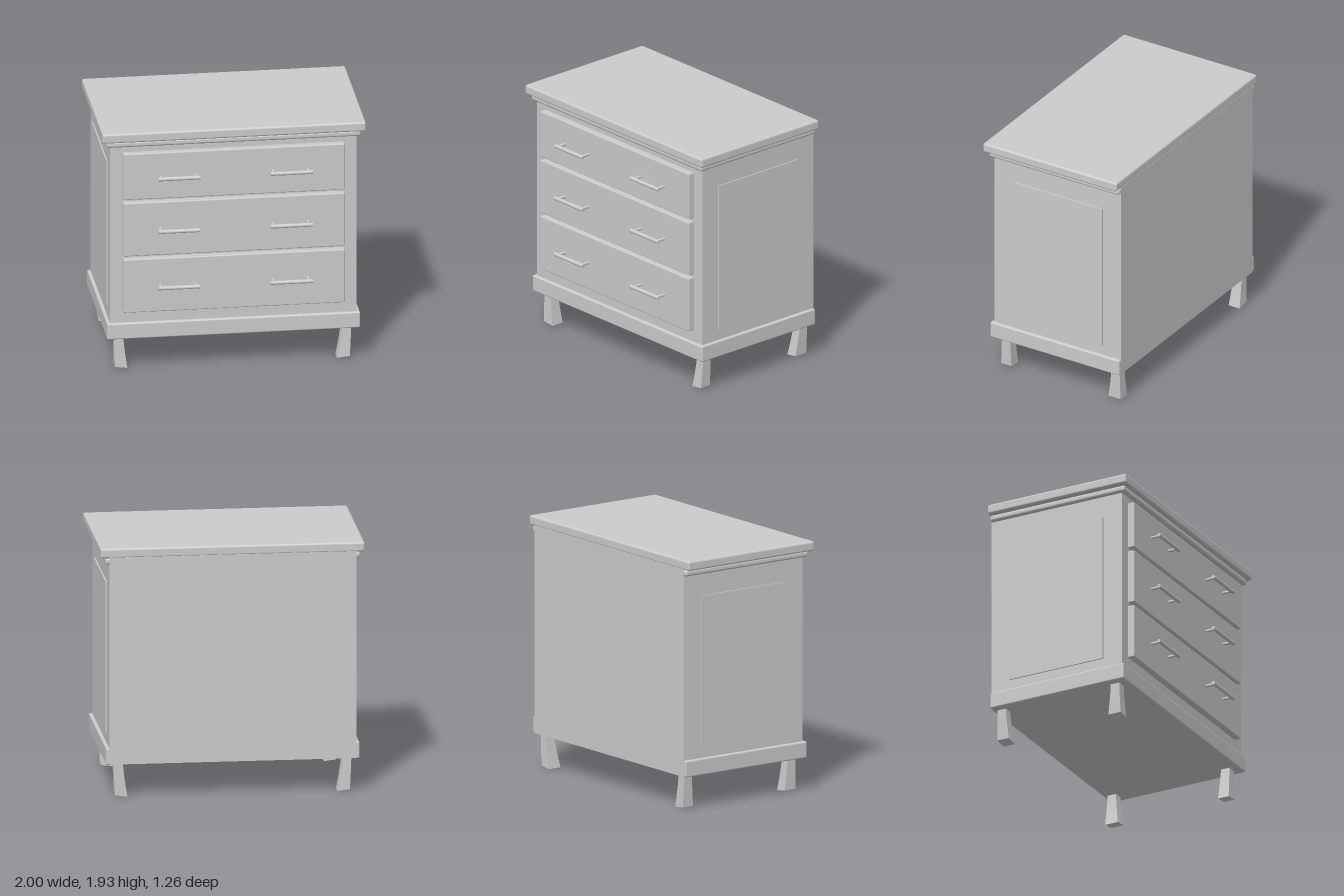
import * as THREE from 'three';
import { RoundedBoxGeometry } from 'three/addons/geometries/RoundedBoxGeometry.js';

export function createModel() {
  const model = new THREE.Group();
  model.name = 'chestOfDrawers';
  const grey = new THREE.MeshStandardMaterial({ color: 0xcccccc });
  grey.name = 'plain grey';

  const add = (name, geometry, parent = model) => {
    const mesh = new THREE.Mesh(geometry, grey);
    mesh.name = name;
    parent.add(mesh);
    return mesh;
  };

  // Box given by its limits, with rounded edges when r > 0
  const box = (name, [x0, x1], [y0, y1], [z0, z1], r = 0) => {
    const size = [x1 - x0, y1 - y0, z1 - z0];
    const geometry = r ? new RoundedBoxGeometry(...size, 3, r) : new THREE.BoxGeometry(...size);
    const mesh = add(name, geometry);
    mesh.position.set((x0 + x1) / 2, (y0 + y1) / 2, (z0 + z1) / 2);
    return mesh;
  };

  // Carcass and mouldings, all flush at the back
  box('carcass', [-0.935, 0.935], [0.258, 1.86], [-0.63, 0.49]);
  box('topSlab', [-1, 1], [1.853, 1.928], [-0.63, 0.555], 0.016);
  box('topMoulding', [-0.965, 0.965], [1.805, 1.853], [-0.629, 0.525], 0.018);
  box('plinth', [-0.96, 0.96], [0.255, 0.383], [-0.629, 0.515], 0.012);

  // Raised side panels
  for (const [name, s] of [['leftPanel', 1], ['rightPanel', -1]]) {
    box(name, [Math.min(s * 0.92, s * 0.945), Math.max(s * 0.92, s * 0.945)], [0.465, 1.635], [-0.47, 0.33]);
  }

  // Drawers with two bar handles each
  const drawers = [[0.477, 0.905, 0.692], [0.932, 1.36, 1.147], [1.387, 1.757, 1.572]];
  drawers.forEach(([y0, y1, handleY], i) => {
    box(`drawer${i + 1}`, [-0.84, 0.84], [y0, y1], [0.47, 0.541], 0.008);
    for (const x of [-0.428, 0.426]) {
      const handle = new THREE.Group();
      handle.name = 'handle';
      handle.position.set(x, handleY, 0);
      const bar = add('handleBar', new THREE.CylinderGeometry(0.015, 0.015, 0.318, 16), handle);
      bar.rotation.z = Math.PI / 2;
      bar.position.z = 0.615;
      for (const px of [-0.133, 0.133]) {
        const post = add('handlePost', new THREE.CylinderGeometry(0.011, 0.011, 0.08, 12), handle);
        post.rotation.x = Math.PI / 2;
        post.position.set(px, 0, 0.575);
      }
      model.add(handle);
    }
  });

  // Flared square legs: lerp each corner from the top rectangle to the foot rectangle
  const leg = (name, top, foot) => {
    const geometry = new THREE.BoxGeometry(1, 1, 1, 1, 4, 1);
    const p = geometry.attributes.position;
    for (let i = 0; i < p.count; i++) {
      const t = Math.pow(0.5 - p.getY(i), 1.3);
      const at = (k) => THREE.MathUtils.lerp(top[k], foot[k], t);
      const x = p.getX(i) < 0 ? at(0) : at(1);
      const z = p.getZ(i) < 0 ? at(2) : at(3);
      const lift = 0.012 * (0.5 - p.getY(i)) * (Math.abs(x) > 0.84 ? 1 : 0);
      p.setXYZ(i, x, (p.getY(i) + 0.5) * 0.262 + lift, z);
    }
    geometry.computeVertexNormals();
    add(name, geometry);
  };
  // Limits in order: x0, x1, z0, z1
  leg('frontLeftLeg', [0.83, 0.9, 0.375, 0.447], [0.79, 0.888, 0.37, 0.462]);
  leg('frontRightLeg', [-0.9, -0.83, 0.375, 0.447], [-0.893, -0.8, 0.35, 0.455]);
  leg('backLeftLeg', [0.83, 0.9, -0.597, -0.525], [0.795, 0.888, -0.598, -0.49]);
  leg('backRightLeg', [-0.9, -0.83, -0.597, -0.525], [-0.888, -0.793, -0.602, -0.505]);

  return model;
}
